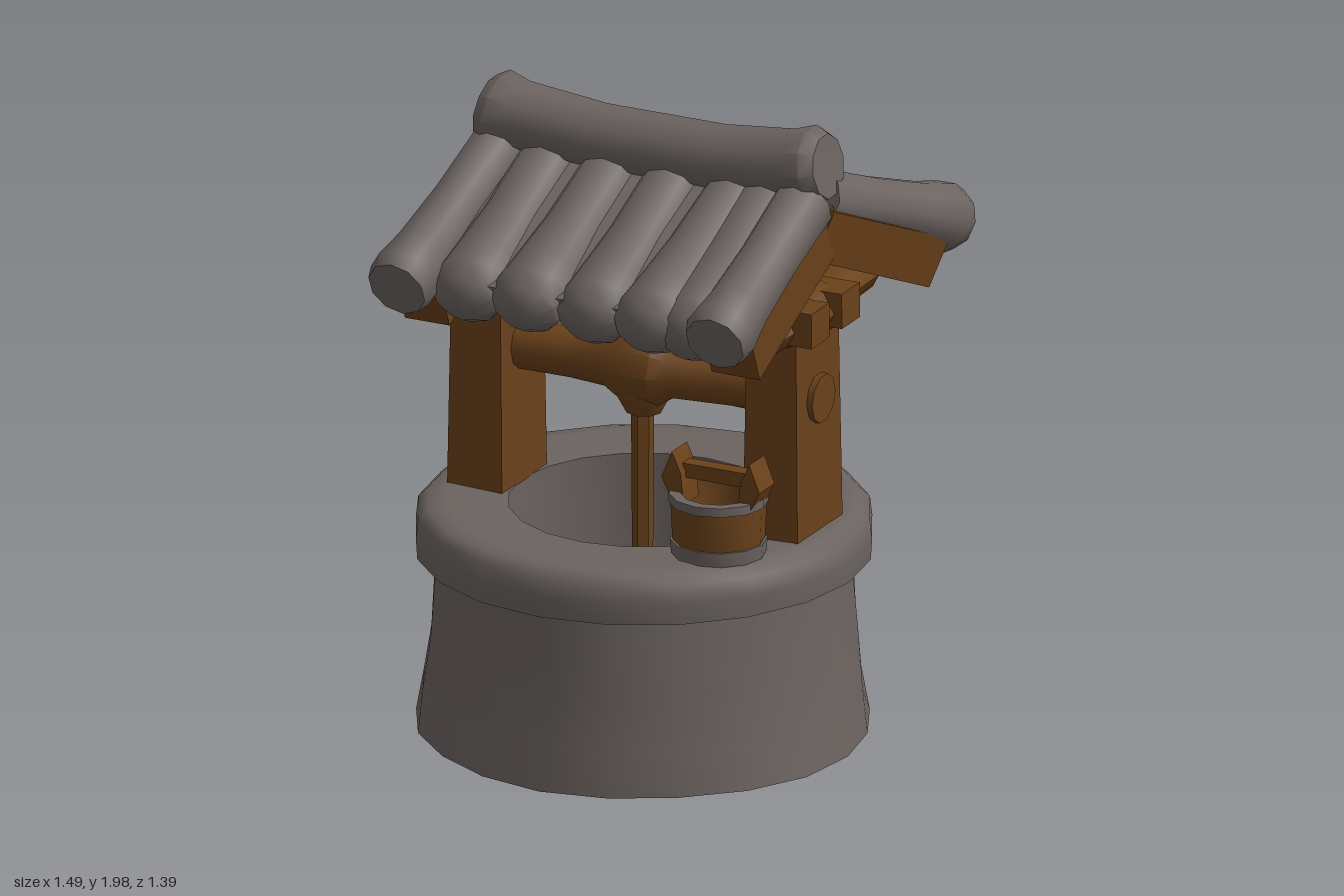
import * as THREE from 'three';
import { toCreasedNormals } from 'three/addons/utils/BufferGeometryUtils.js';

const stone = new THREE.MeshStandardMaterial({ color: 0x6b6360, side: THREE.DoubleSide });
stone.name = 'grey stone';
const wood = new THREE.MeshStandardMaterial({ color: 0x6a411a, side: THREE.DoubleSide });
wood.name = 'brown wood';

const UP = new THREE.Vector3(0, 1, 0);
const V = (x, y, z) => new THREE.Vector3(x, y, z);

function add(parent, name, geo, mat, crease = 0.8) {
  const mesh = new THREE.Mesh(toCreasedNormals(geo, crease), mat);
  mesh.name = name;
  parent.add(mesh);
  return mesh;
}

// turned shape from [radius, height] pairs
const lathe = (pts, sides) => new THREE.LatheGeometry(pts.map(p => new THREE.Vector2(p[0], p[1])), sides);

// move every vertex of a geometry by a rule
function bend(geo, rule) {
  const p = geo.attributes.position, v = V();
  for (let i = 0; i < p.count; i++) {
    v.fromBufferAttribute(p, i);
    rule(v);
    p.setXYZ(i, v.x, v.y, v.z);
  }
  return geo;
}

// stand a mesh whose axis is y between two points
function place(mesh, a, b) {
  mesh.position.copy(a);
  mesh.quaternion.setFromUnitVectors(UP, b.clone().sub(a).normalize());
  return mesh;
}

// round log between two points; profile is [radius, fraction of length]
function log(parent, name, a, b, profile, mat, sides = 10, widen = 1) {
  const len = a.distanceTo(b);
  const geo = lathe(profile.map(([r, t]) => [r, t * len]), sides);
  geo.scale(widen, 1, 1);
  return place(add(parent, name, geo, mat), a, b);
}

// squared timber between two points
function timber(parent, name, a, b, w, d, mat = wood) {
  const len = a.distanceTo(b);
  const geo = new THREE.BoxGeometry(w, len, d).translate(0, len / 2, 0);
  return place(add(parent, name, geo, mat), a, b);
}

export function createModel() {
  const model = new THREE.Group();
  model.name = 'well';

  // well wall, rim and open inner shaft
  const wall = lathe([[0.685, 0.01], [0.665, 0.15], [0.645, 0.32], [0.63, 0.565], [0.688, 0.565],
    [0.692, 0.63], [0.685, 0.69], [0.655, 0.718], [0.6, 0.722], [0.41, 0.715], [0.42, 0.01]], 20);
  bend(wall, v => {
    const r = Math.hypot(v.x, v.z);
    if (v.y < 0.4 && r > 0.5) {
      const k = 1 + 0.01 * Math.sin(Math.atan2(v.z, v.x) * 5 + v.y * 9);
      v.x *= k;
      v.z *= k;
    }
  });
  add(model, 'wellWall', wall, stone, 0.95).position.x = -0.055;

  // posts, tapering upward, with a cross beam on each
  for (const [side, x] of [['right', -0.55], ['left', 0.445]]) {
    const post = new THREE.BoxGeometry(0.18, 0.7, 0.3, 1, 3, 1);
    bend(post, v => { v.x *= 0.97 - v.y * 0.16; v.z *= 0.96 - v.y * 0.08; });
    add(model, side + 'Post', post, wood).position.set(x, 1.06, 0);
    log(model, side + 'CrossBeam', V(x, 1.395, -0.42), V(x, 1.395, 0.42),
      [[0, 0], [0.06, 0], [0.063, 0.15], [0.068, 0.32], [0.092, 0.38], [0.092, 0.62], [0.068, 0.68], [0.063, 0.85], [0.06, 1], [0, 1]],
      wood, 8, 1.3);
  }

  // paired beams across the posts
  for (const s of [-1, 1])
    timber(model, 'longBeam', V(-0.69, 1.4, s * 0.1), V(0.59, 1.41, s * 0.1), 0.11, 0.12);

  // windlass axle with hub, and its rope
  log(model, 'axle', V(-0.655, 1.15, 0), V(0.55, 1.14, 0),
    [[0, 0], [0.08, 0], [0.076, 0.3], [0.082, 0.4], [0.115, 0.45], [0.115, 0.55], [0.082, 0.59], [0.072, 0.75], [0.077, 1], [0, 1]], wood);
  log(model, 'ropeKnot', V(-0.055, 1.13, 0), V(-0.055, 1.0, 0), [[0.1, 0], [0.09, 0.5], [0.055, 1], [0, 1]], wood, 8);
  add(model, 'rope', new THREE.CylinderGeometry(0.035, 0.03, 0.74, 6), wood).position.set(-0.06, 0.67, 0);

  // bucket on the rim
  const bucket = new THREE.Group();
  bucket.name = 'bucket';
  bucket.position.set(0.355, 0.72, 0.31);
  model.add(bucket);
  add(bucket, 'bucketLowerBand', lathe([[0, 0], [0.143, 0], [0.147, 0.045], [0.138, 0.045]], 12), stone);
  add(bucket, 'bucketStaves', lathe([[0.139, 0.035], [0.145, 0.165]], 12), wood);
  add(bucket, 'bucketUpperBand', lathe([[0.144, 0.16], [0.15, 0.162], [0.15, 0.19], [0.115, 0.19]], 12), stone);
  add(bucket, 'bucketInside', lathe([[0.115, 0.19], [0.11, 0.1], [0, 0.1]], 12), wood);
  for (const s of [-1, 1]) {
    const ear = new THREE.Shape([[0.09, 0.15], [0.13, 0.16], [0.165, 0.23], [0.13, 0.315], [0.1, 0.25]]
      .map(p => new THREE.Vector2(p[0] * s, p[1])));
    const geo = new THREE.ExtrudeGeometry(ear, { depth: 0.1, bevelEnabled: false });
    add(bucket, 'bucketEar', geo, wood).position.z = -0.045;
  }
  timber(bucket, 'bucketHandle', V(-0.12, 0.25, 0), V(0.12, 0.25, 0), 0.045, 0.05);

  // roof slopes: rafters, backing board and rows of log-shaped tiles
  const roof = new THREE.Group();
  roof.name = 'roof';
  model.add(roof);
  const edge = [[0, 0], [0.095, 0], [0.09, 0.4], [0.097, 0.75], [0.11, 0.93], [0.095, 1], [0, 1.01]];
  const tile = [[0, 0], [0.085, 0], [0.088, 0.4], [0.1, 0.7], [0.108, 0.86], [0.09, 0.97], [0.05, 1.03], [0, 1.04]];
  // tile positions along the ridge and along the eave
  const rows = {
    front: [[-0.36, -0.36], [-0.15, -0.15], [0.06, 0.06], [0.27, 0.26], [0.38, 0.39]],
    back: [[-0.35, -0.34], [-0.14, -0.13], [0.07, 0.1], [0.28, 0.32], [0.4, 0.43]],
  };
  for (const [name, s] of [['front', 1], ['back', -1]]) {
    const flare = s < 0 ? 0.13 : 0;
    log(roof, name + 'RightEdgeTile', V(-0.53, 1.76, s * 0.04), V(-0.55, 1.52, s * 0.66), edge, stone);
    log(roof, name + 'LeftEdgeTile', V(0.5, 1.76, s * 0.04), V(0.515 + flare, 1.52, s * 0.65), edge, stone);
    rows[name].forEach(([x0, x1], i) => log(roof, name + 'Tile', V(x0, 1.745, s * 0.04),
      V(x1, 1.485 + 0.01 * (i % 2), s * (0.6 + 0.02 * (i % 2))), tile, stone, 10, 1.2));
    timber(roof, name + 'RightRafter', V(-0.53, 1.69, -s * 0.03), V(-0.53, 1.44, s * 0.53), 0.15, 0.16);
    timber(roof, name + 'LeftRafter', V(0.5, 1.69, -s * 0.03), V(0.51 + flare * 0.7, 1.44, s * 0.53), 0.16, 0.16);
    timber(roof, name + 'Board', V(-0.03, 1.765, 0), V(-0.03, 1.52, s * 0.58), 0.92, 0.07, stone);
  }

  // ridge log, flared and lifted at both ends, with slanted end faces
  const ridge = lathe([[0, -0.58], [0.1, -0.585], [0.125, -0.55], [0.11, -0.46], [0.105, -0.2], [0.105, 0.2],
    [0.11, 0.43], [0.125, 0.52], [0.1, 0.56], [0, 0.555]], 10);
  ridge.rotateZ(-Math.PI / 2);
  bend(ridge, v => {
    if (Math.abs(v.x) > 0.5) v.x *= 1 - 0.3 * v.y;
    v.y += 0.13 * v.x * v.x;
  });
  add(roof, 'ridgeLog', ridge, stone).position.set(0, 1.838, -0.01);

  return model;
}
